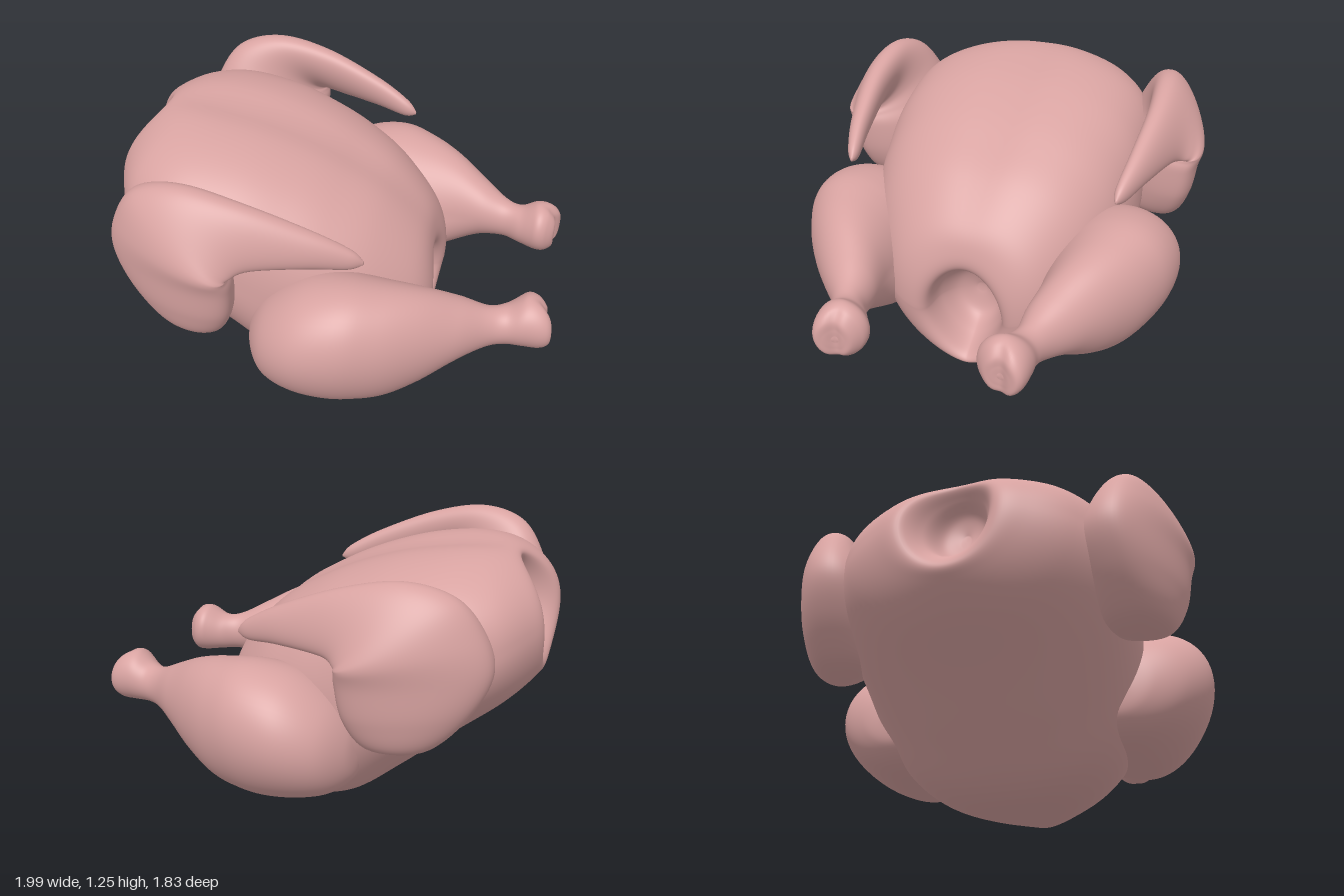
import * as THREE from 'three';

const material = new THREE.MeshStandardMaterial({ color: 0xd8a3a1, roughness: 0.7 });

// Catmull-Rom blend of the parameter rows at t in 0..1
function sampleRow(rows, t) {
  const s = t * (rows.length - 1);
  const i = Math.min(Math.floor(s), rows.length - 2);
  const f = s - i;
  const [a, b, c, d] = [-1, 0, 1, 2].map((k) => rows[Math.min(Math.max(i + k, 0), rows.length - 1)]);
  return b.map((_, k) => 0.5 * (2 * b[k] + (c[k] - a[k]) * f
    + (2 * a[k] - 5 * b[k] + 4 * c[k] - d[k]) * f * f
    + (3 * b[k] - a[k] - 3 * c[k] + d[k]) * f * f * f));
}

// Smooth skin over closed rings; ring(row, angle) gives a point
function loft(name, rows, ring, around = 64, perRow = 8) {
  const steps = (rows.length - 1) * perRow;
  const pos = [];
  const index = [];
  for (let i = 0; i <= steps; i++) {
    const row = sampleRow(rows, i / steps);
    for (let j = 0; j < around; j++) pos.push(...ring(row, (j / around) * Math.PI * 2));
  }
  // centre points close both ends
  for (const start of [0, steps * around]) {
    const c = [0, 0, 0];
    for (let j = 0; j < around; j++) for (let k = 0; k < 3; k++) c[k] += pos[(start + j) * 3 + k] / around;
    pos.push(...c);
  }
  const cap = (steps + 1) * around;
  for (let j = 0; j < around; j++) {
    const n = (j + 1) % around;
    for (let i = 0; i < steps; i++) {
      const a = i * around;
      const b = a + around;
      index.push(a + j, a + n, b + j, a + n, b + n, b + j);
    }
    index.push(cap, n, j, cap + 1, steps * around + j, steps * around + n);
  }
  // turn the faces outward, whichever way the rings run
  let volume = 0;
  const P = (i) => new THREE.Vector3().fromArray(pos, i * 3);
  for (let i = 0; i < index.length; i += 3) {
    volume += P(index[i]).dot(P(index[i + 1]).cross(P(index[i + 2])));
  }
  if (volume < 0) index.reverse();
  const geo = new THREE.BufferGeometry();
  geo.setAttribute('position', new THREE.Float32BufferAttribute(pos, 3));
  geo.setIndex(index);
  geo.computeVertexNormals();
  const mesh = new THREE.Mesh(geo, material);
  mesh.name = name;
  return mesh;
}

const power = (v, p) => Math.sign(v) * Math.abs(v) ** p;

// Body, from inside the neck hollow to inside the tail hollow:
// bottom x, bottom y, top x, top y, half width, sideways bulge in x, belly exponent
const bodyRows = [
  [-0.76, 0.95, -0.74, 1.02, 0.02, 0, 1],
  [-0.80, 0.87, -0.76, 1.10, 0.10, 0, 1],
  [-0.92, 0.81, -0.81, 1.16, 0.145, -0.02, 1],
  [-0.98, 0.74, -0.84, 1.21, 0.21, -0.075, 1],
  [-0.95, 0.68, -0.80, 1.245, 0.33, -0.085, 1],
  [-0.84, 0.57, -0.69, 1.26, 0.51, -0.09, 1],
  [-0.64, 0.41, -0.54, 1.25, 0.63, -0.07, 1],
  [-0.40, 0.20, -0.35, 1.215, 0.65, 0, 0.95],
  [-0.20, 0.05, -0.15, 1.15, 0.635, 0, 0.87],
  [0.00, 0.002, 0.02, 1.07, 0.60, 0, 0.84],
  [0.20, 0.015, 0.20, 0.96, 0.52, 0, 0.9],
  [0.36, 0.04, 0.36, 0.80, 0.385, 0.02, 1.1],
  [0.405, 0.055, 0.415, 0.68, 0.27, 0.035, 1.2],
  [0.38, 0.09, 0.41, 0.585, 0.19, 0.03, 1.3],
  [0.28, 0.14, 0.31, 0.54, 0.16, 0, 1.25],
  [0.19, 0.20, 0.21, 0.46, 0.11, 0, 1.1],
  [0.16, 0.31, 0.16, 0.35, 0.02, 0, 1],
];
function bodyRing([xb, yb, xt, yt, w, bulge, belly], a) {
  const c = Math.cos(a);
  const s = Math.sin(a);
  // full, rounded breast above
  const k = Math.min(Math.max(w / 0.5 - 0.4, 0), 1);
  const p = c > 0 ? 1 - 0.28 * k : belly;
  const z = w * power(s, p);
  const groove = c > 0 ? 0.025 * k * Math.exp(-((z / 0.11) ** 2)) : 0;
  return [
    xb + (xt - xb) * (1 + c) / 2 + bulge * s * s * (1 + 0.5 * c),
    (yb + yt) / 2 + ((yt - yb) / 2) * power(c, p) - groove,
    z,
  ];
}

// Leg from thigh to knuckle: x, centre y, half height, centre z, half width
const legRows = [
  [-0.31, 0.42, 0.02, 0.55, 0.02],
  [-0.285, 0.435, 0.13, 0.56, 0.13],
  [-0.20, 0.46, 0.225, 0.58, 0.24],
  [-0.05, 0.49, 0.295, 0.59, 0.305],
  [0.13, 0.50, 0.32, 0.60, 0.29],
  [0.30, 0.50, 0.295, 0.58, 0.245],
  [0.45, 0.515, 0.235, 0.54, 0.19],
  [0.60, 0.525, 0.15, 0.475, 0.135],
  [0.72, 0.515, 0.10, 0.42, 0.085],
  [0.80, 0.515, 0.095, 0.38, 0.09],
  [0.88, 0.535, 0.122, 0.358, 0.115],
  [0.94, 0.53, 0.118, 0.355, 0.11],
  [0.98, 0.52, 0.085, 0.36, 0.08],
  [0.985, 0.515, 0.045, 0.36, 0.045],
  [0.985, 0.515, 0.015, 0.36, 0.015],
];
const legRing = (side) => ([x, y, ry, z, rz], a) => {
  const c = Math.cos(a);
  const s = Math.sin(a);
  const dz = rz * s;
  // the thigh leans out at the top and spreads under the belly
  const thigh = Math.min(Math.max((0.6 - x) / 0.4, 0), 1);
  const web = 0.45 * thigh * rz * Math.max(-s, 0) * Math.max(-c, 0);
  const lean = 0.16 * thigh * ry * c;
  // the knuckle is slanted and split by a shallow groove
  const end = Math.min(Math.max((x - 0.86) / 0.1, 0), 1);
  const split = 0.018 * end * Math.exp(-((dz / 0.03) ** 2));
  return [x + end * 0.22 * dz - split, y + ry * c, side * (z + dz + lean - web)];
};

// Folded wing, fanned round its inner corner:
// inner x, y, z, outer x, y, z, thickness outward, thickness toward the body
const wingRows = [
  [-0.48, 0.540, 0.67, -0.54, 0.538, 0.67, 0.02, 0.03],
  [-0.38, 0.585, 0.74, -0.67, 0.59, 0.68, 0.10, 0.18],
  [-0.315, 0.71, 0.79, -0.80, 0.735, 0.66, 0.13, 0.23],
  [-0.295, 0.86, 0.82, -0.87, 0.90, 0.64, 0.135, 0.23],
  [-0.30, 0.915, 0.84, -0.83, 1.06, 0.65, 0.135, 0.19],
  [-0.30, 0.925, 0.85, -0.72, 1.20, 0.68, 0.105, 0.15],
  [-0.29, 0.93, 0.83, -0.52, 1.25, 0.70, 0.08, 0.11],
  [-0.22, 0.94, 0.77, -0.27, 1.20, 0.70, 0.065, 0.08],
  [0.00, 0.93, 0.69, 0.00, 1.09, 0.665, 0.05, 0.05],
  [0.15, 0.912, 0.64, 0.16, 1.00, 0.635, 0.03, 0.03],
  [0.21, 0.93, 0.625, 0.21, 0.945, 0.625, 0.005, 0.005],
];
const wingRing = (side) => ([xi, yi, zi, xo, yo, zo, out, into], a) => {
  const c = Math.cos(a);
  const s = Math.sin(a);
  const f = (1 - c) / 2;
  const dz = s > 0 ? out * s ** 0.85 : into * s;
  return [xi + (xo - xi) * f, yi + (yo - yi) * f, side * (zi + (zo - zi) * f + dz)];
};

export function createModel() {
  const model = new THREE.Group();
  model.name = 'poultry';
  model.add(loft('body', bodyRows, bodyRing, 96));
  for (const [label, side] of [['front', 1], ['back', -1]]) {
    model.add(loft(label + 'Leg', legRows, legRing(side)));
    model.add(loft(label + 'Wing', wingRows, wingRing(side)));
  }
  return model;
}
